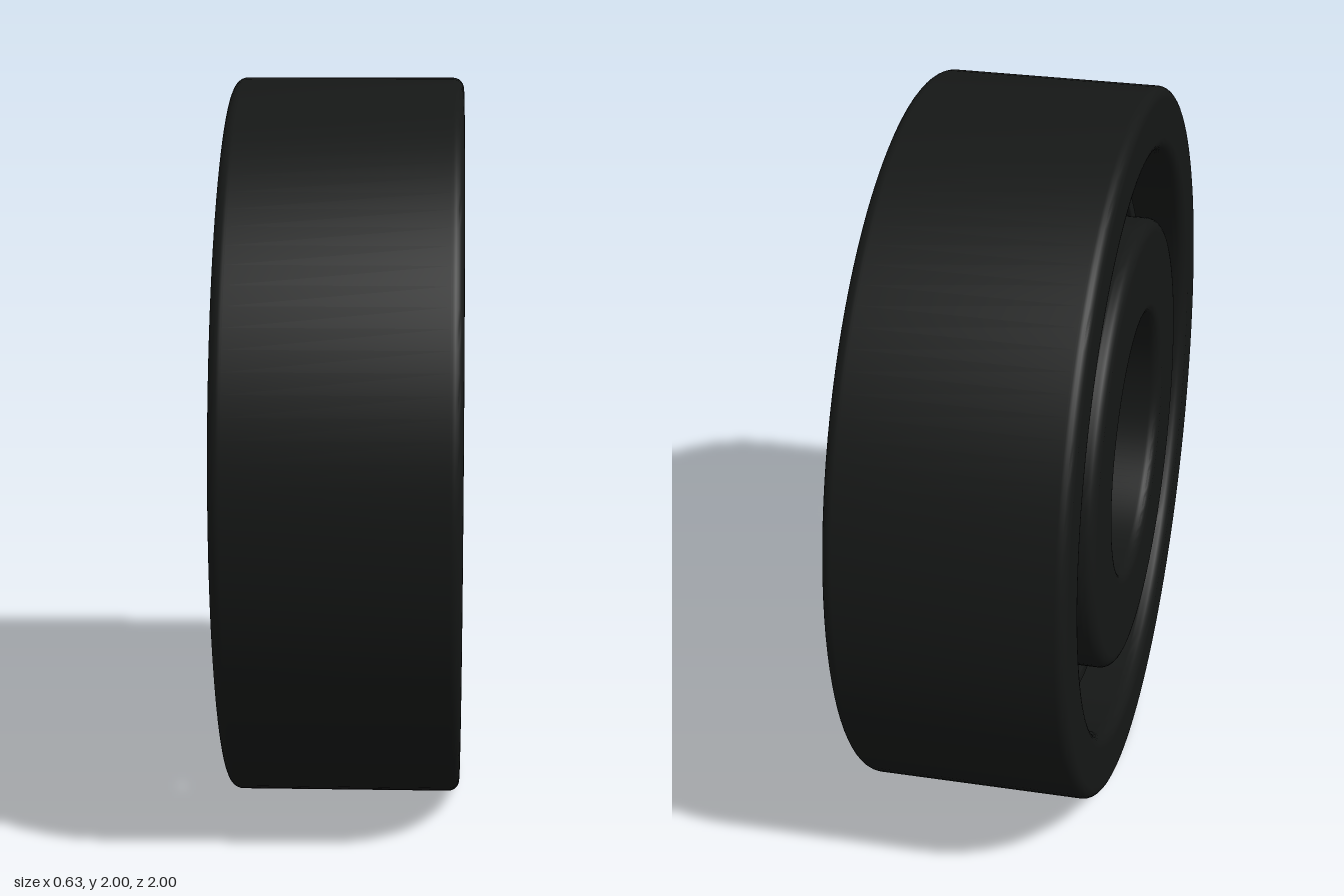
import * as THREE from 'three';
import { toCreasedNormals } from 'three/addons/utils/BufferGeometryUtils.js';

const HALF_WIDTH = 0.315;
const PITCH = 0.725; // radius of the circle of ball centres
const BALL_R = 0.16;
const GROOVE_R = 0.165;
const BALLS = 7;

// Quarter-round corner around (cx, cy), starting at angle a0; support points keep the flats flat
function corner(pts, cx, cy, r, a0) {
  const at = (a) => [cx + r * Math.cos(a), cy + r * Math.sin(a)];
  const a1 = a0 + Math.PI / 2, e = 0.004;
  const [sx, sy] = at(a0), [ex, ey] = at(a1);
  pts.push(new THREE.Vector2(sx + Math.sin(a0) * e, sy - Math.cos(a0) * e));
  for (let i = 0; i <= 6; i++) pts.push(new THREE.Vector2(...at(a0 + (i / 6) * (Math.PI / 2))));
  pts.push(new THREE.Vector2(ex - Math.sin(a1) * e, ey + Math.cos(a1) * e));
}

// Ball track: dir +1 runs up the outer wall, -1 runs down the inner wall
function groove(pts, wall, dir) {
  const depth = Math.abs(wall - PITCH);
  const half = Math.acos(depth / GROOVE_R);
  for (let i = 0; i <= 14; i++) {
    const a = half * (-1 + (2 * i) / 14);
    pts.push(new THREE.Vector2(PITCH - dir * GROOVE_R * Math.cos(a), dir * GROOVE_R * Math.sin(a)));
  }
}

// Rounded ring profile, optionally grooved on its outer or inner wall
function ring(name, rIn, rOut, halfW, filletIn, filletOut, track, material) {
  const pts = [];
  const fi = filletIn, fo = filletOut;
  if (track === 'outside') groove(pts, rOut, 1);
  corner(pts, rOut - fo, halfW - fo, fo, 0);
  corner(pts, rIn + fi, halfW - fi, fi, Math.PI / 2);
  if (track === 'inside') groove(pts, rIn, -1);
  corner(pts, rIn + fi, -halfW + fi, fi, Math.PI);
  corner(pts, rOut - fo, -halfW + fo, fo, Math.PI * 1.5);
  pts.push(pts[0].clone());
  const geo = toCreasedNormals(new THREE.LatheGeometry(pts, 112), 0.5);
  geo.rotateZ(-Math.PI / 2);
  const mesh = new THREE.Mesh(geo, material);
  mesh.name = name;
  return mesh;
}

export function createModel() {
  const model = new THREE.Group();
  model.name = 'ballBearing';
  const dark = new THREE.MeshStandardMaterial({ color: 0x151716 });

  const bearing = new THREE.Group();
  bearing.name = 'bearing';
  bearing.position.y = 1;
  model.add(bearing);

  // Races and the thin ball cage between them
  bearing.add(ring('outerRace', 0.82, 1, HALF_WIDTH, 0.035, 0.03, 'inside', dark));
  bearing.add(ring('innerRace', 0.365, 0.635, HALF_WIDTH, 0.03, 0.035, 'outside', dark));
  bearing.add(ring('cage', 0.705, 0.745, 0.19, 0.006, 0.006, null, dark));

  // Balls spaced around the axle, the first one straight ahead
  const balls = new THREE.Group();
  balls.name = 'balls';
  const ballGeo = new THREE.SphereGeometry(BALL_R, 40, 24);
  for (let i = 0; i < BALLS; i++) {
    const a = (i / BALLS) * Math.PI * 2;
    const ball = new THREE.Mesh(ballGeo, dark);
    ball.name = 'ball' + (i + 1);
    ball.position.set(0, PITCH * Math.sin(a), PITCH * Math.cos(a));
    balls.add(ball);
  }
  bearing.add(balls);
  return model;
}
